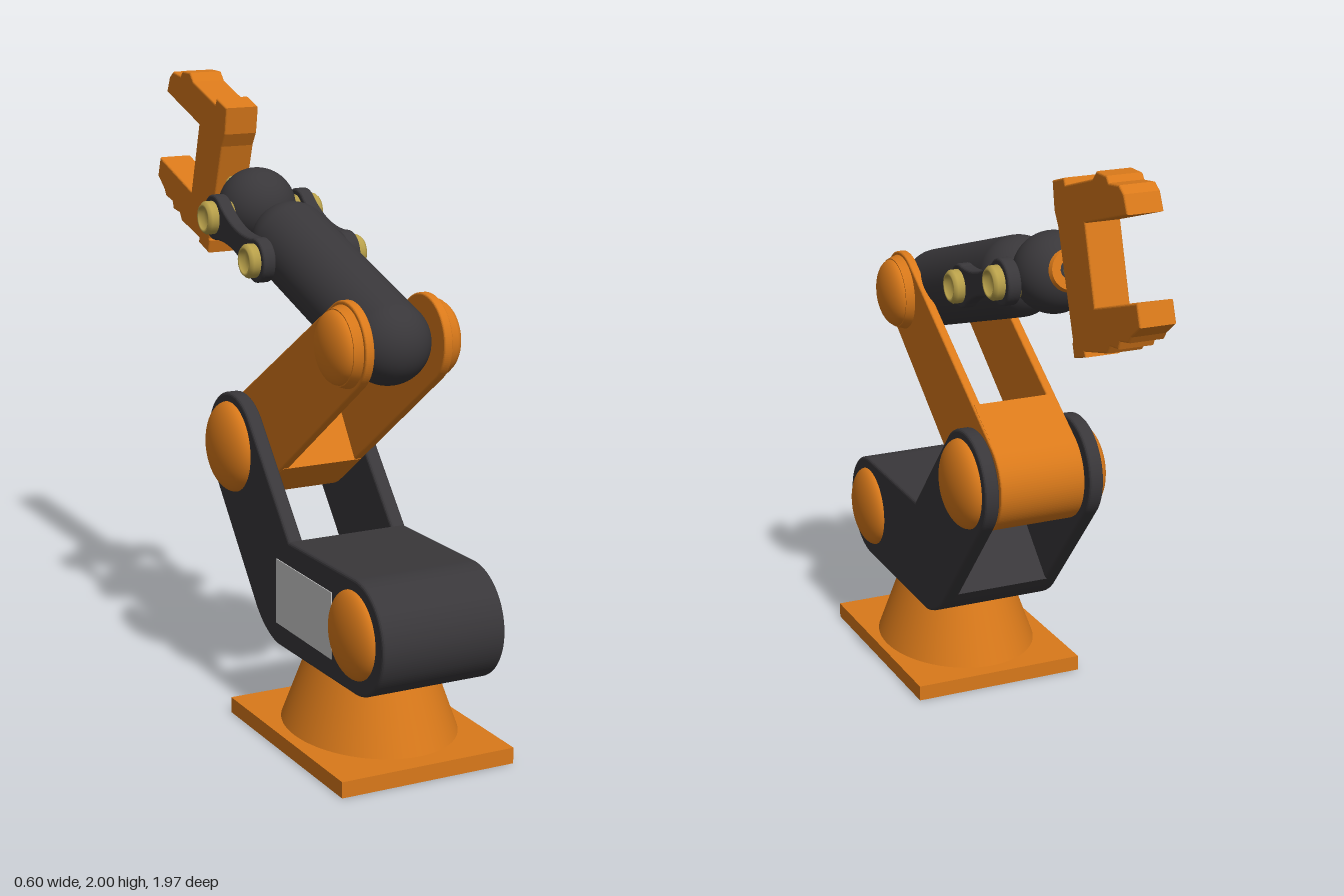
import * as THREE from 'three';

const mat = (color) => new THREE.MeshStandardMaterial({ color });
const orange = mat(0xd9791a), dark = mat(0x39373a), gold = mat(0xb8a04a), grey = mat(0xcccccc);

// Axis of symmetry of the arm lies slightly off x = 0
const CX = 0.005;

function add(parent, name, geometry, material, x = 0, y = 0, z = 0) {
  const mesh = new THREE.Mesh(geometry, material);
  mesh.name = name;
  mesh.position.set(x, y, z);
  parent.add(mesh);
  return mesh;
}

// Side profile drawn in (z, y), extruded to a given width across x
function slab(shape, width, bevel = 0) {
  const g = new THREE.ExtrudeGeometry(shape, {
    depth: width - 2 * bevel, curveSegments: 32, bevelEnabled: bevel > 0,
    bevelThickness: bevel, bevelSize: bevel, bevelOffset: -bevel, bevelSegments: 3,
  });
  g.translate(0, 0, -(width - 2 * bevel) / 2);
  g.rotateY(-Math.PI / 2);
  return g;
}

const polygon = (pts) => new THREE.Shape(pts.map(([z, y]) => new THREE.Vector2(z, y)));

// Bar with round ends between two pivots; waist < 1 narrows the middle
function barShape([z1, y1], r1, [z2, y2], r2, waist = 1) {
  const f = Math.atan2(y2 - y1, z2 - z1), q = Math.PI / 2;
  const at = (t, d) => [
    z1 + (z2 - z1) * t - Math.sin(f) * d, y1 + (y2 - y1) * t + Math.cos(f) * d];
  const s = new THREE.Shape();
  const spread = waist < 1 ? q * 1.35 : q;
  s.absarc(z2, y2, r2, f - spread, f + spread, false);
  if (waist < 1) s.quadraticCurveTo(...at(0.5, r1 * waist), z1 + r1 * Math.cos(f + Math.PI - spread),
    y1 + r1 * Math.sin(f + Math.PI - spread));
  s.absarc(z1, y1, r1, f + Math.PI - spread, f + Math.PI + spread, false);
  if (waist < 1) s.quadraticCurveTo(...at(0.5, -r1 * waist), z2 + r2 * Math.cos(f - spread),
    y2 + r2 * Math.sin(f - spread));
  return s;
}

// Lens-shaped pivot cover
function dome(radius, height) {
  return new THREE.SphereGeometry(1, 40, 24).scale(height, radius, radius);
}

// Cylinder pointing along the line between two (z, y) points
function rod(parent, name, [z1, y1], [z2, y2], geometry, material) {
  const mesh = add(parent, name, geometry, material, 0, (y1 + y2) / 2, (z1 + z2) / 2);
  mesh.rotation.x = Math.atan2(z2 - z1, y2 - y1);
  return mesh;
}

// Pivot points as [z, y]
const SHOULDER = [0.81, 0.46], ELBOW = [-0.055, 0.845], UPPER = [0.62, 1.31];
const FORE_END = [-0.025, 1.513], WRIST = [-0.287, 1.592];
const BOLTS = [[0.052, 1.48], [-0.26, 1.572]];

export function createModel() {
  const root = new THREE.Group();
  root.name = 'robotArm';

  // Base: square plate and oval tapered pedestal
  add(root, 'basePlate', new THREE.BoxGeometry(0.6, 0.052, 0.78), orange, 0, 0.026, 0.528);
  const cone = new THREE.CylinderGeometry(0.23, 0.33, 0.235, 64).scale(0.81, 1, 1);
  add(root, 'pedestal', cone, orange, CX, 0.167, 0.52);

  const arm = new THREE.Group();
  arm.name = 'arm';
  arm.position.x = CX;
  root.add(arm);

  // Lower arm: bent side plates, solid between them up to the fork
  const side = new THREE.Shape();
  side.absarc(...SHOULDER, 0.183, -Math.PI / 2, Math.PI / 2, false);
  side.lineTo(0.37, 0.635);
  side.absarc(...ELBOW, 0.18, 0.72, 0.72 + Math.PI, false);
  side.lineTo(0.13, 0.35);
  side.quadraticCurveTo(0.19, 0.285, 0.28, 0.268);
  const core = new THREE.Shape();
  core.absarc(...SHOULDER, 0.183, -Math.PI / 2, Math.PI / 2, false);
  core.lineTo(0.37, 0.635);
  core.lineTo(0.1, 0.386);
  core.lineTo(0.13, 0.35);
  core.quadraticCurveTo(0.19, 0.285, 0.28, 0.268);
  add(arm, 'lowerArmBody', slab(core, 0.4), dark);
  add(arm, 'sidePanel', new THREE.BoxGeometry(0.006, 0.215, 0.38), grey, -0.21, 0.45, 0.475);

  // Middle link: barrel end with a two-plate fork
  const linkAngle = Math.atan2(UPPER[1] - ELBOW[1], UPPER[0] - ELBOW[0]);
  const hub = new THREE.Shape();
  hub.absarc(0, 0, 0.165, Math.PI / 2, Math.PI * 1.5, false);
  hub.lineTo(0.19, -0.161);
  hub.lineTo(0.19, 0.161);
  const hubMesh = add(arm, 'middleLinkHub', slab(hub, 0.284), orange, 0, ELBOW[1], ELBOW[0]);
  hubMesh.rotation.x = -linkAngle;

  for (const s of [-1, 1]) {
    add(arm, 'lowerArmSide', slab(side, 0.05, 0.01), dark, s * 0.185);
    add(arm, 'shoulderCap', dome(0.14, 0.052), orange, s * 0.207, 0.465, 0.805);
    add(arm, 'elbowCap', dome(0.15, 0.066), orange, s * 0.207, ELBOW[1], ELBOW[0]);
    const plate = barShape(ELBOW, 0.165, UPPER, 0.14);
    add(arm, 'middleLinkPlate', slab(plate, 0.03, 0.006), orange, s * 0.134);
    const boss = new THREE.CylinderGeometry(0.118, 0.13, 0.035, 48).rotateZ(-s * Math.PI / 2);
    add(arm, 'upperPivotBoss', boss, orange, s * 0.16, UPPER[1], UPPER[0]);
    add(arm, 'upperPivotCap', dome(0.115, 0.05), orange, s * 0.174, UPPER[1], UPPER[0]);

    // Wrist side links with hollow-headed bolts
    const link = barShape(BOLTS[0], 0.072, BOLTS[1], 0.075, 0.25);
    add(arm, 'wristLink', slab(link, 0.046, 0.008), dark, s * 0.152);
    for (const [z, y] of BOLTS) {
      const profile = [[0, 0.016], [0.034, 0.016], [0.038, 0.035], [0.046, 0.035],
        [0.055, 0.024], [0.055, -0.06], [0, -0.06]];
      const bolt = new THREE.LatheGeometry(
        profile.map(([r, h]) => new THREE.Vector2(r, h)).reverse(), 32);
      bolt.rotateZ(-s * Math.PI / 2);
      add(arm, 'wristBolt', bolt, gold, s * 0.175, y, z);
    }
  }

  // Forearm capsule and wrist ball
  const foreLength = Math.hypot(UPPER[0] - FORE_END[0], UPPER[1] - FORE_END[1]);
  rod(arm, 'forearm', UPPER, FORE_END,
    new THREE.CapsuleGeometry(0.133, foreLength, 16, 48), dark);
  add(arm, 'wristBall', new THREE.SphereGeometry(0.13, 48, 32), dark, 0, WRIST[1], WRIST[0]);

  // Tool collar and shaft
  rod(arm, 'toolCollar', [-0.372, 1.617], [-0.41, 1.629],
    new THREE.CylinderGeometry(0.062, 0.075, 0.034, 40), orange);
  rod(arm, 'toolShaft', [-0.38, 1.617], [-0.52, 1.659],
    new THREE.CylinderGeometry(0.025, 0.025, 0.15, 24), gold);

  // Gripper: palm and two stepped jaws in one profile
  const gripper = polygon([
    [-0.395, 1.91], [-0.41, 1.82], [-0.437, 1.776], [-0.545, 1.447], [-0.54, 1.44], [-0.554, 1.396],
    [-0.634, 1.421], [-0.628, 1.437], [-0.777, 1.474], [-0.793, 1.5], [-0.846, 1.506],
    [-0.856, 1.532], [-0.91, 1.543], [-0.925, 1.565], [-0.98, 1.607], [-0.957, 1.675],
    [-0.69, 1.59], [-0.62, 1.83], [-0.89, 1.915], [-0.865, 1.97], [-0.835, 1.99],
    [-0.77, 1.982], [-0.755, 2.0], [-0.69, 2.0], [-0.665, 1.972], [-0.485, 1.915], [-0.475, 1.935],
  ]);
  add(arm, 'gripper', slab(gripper, 0.118, 0.006), orange);

  return root;
}
